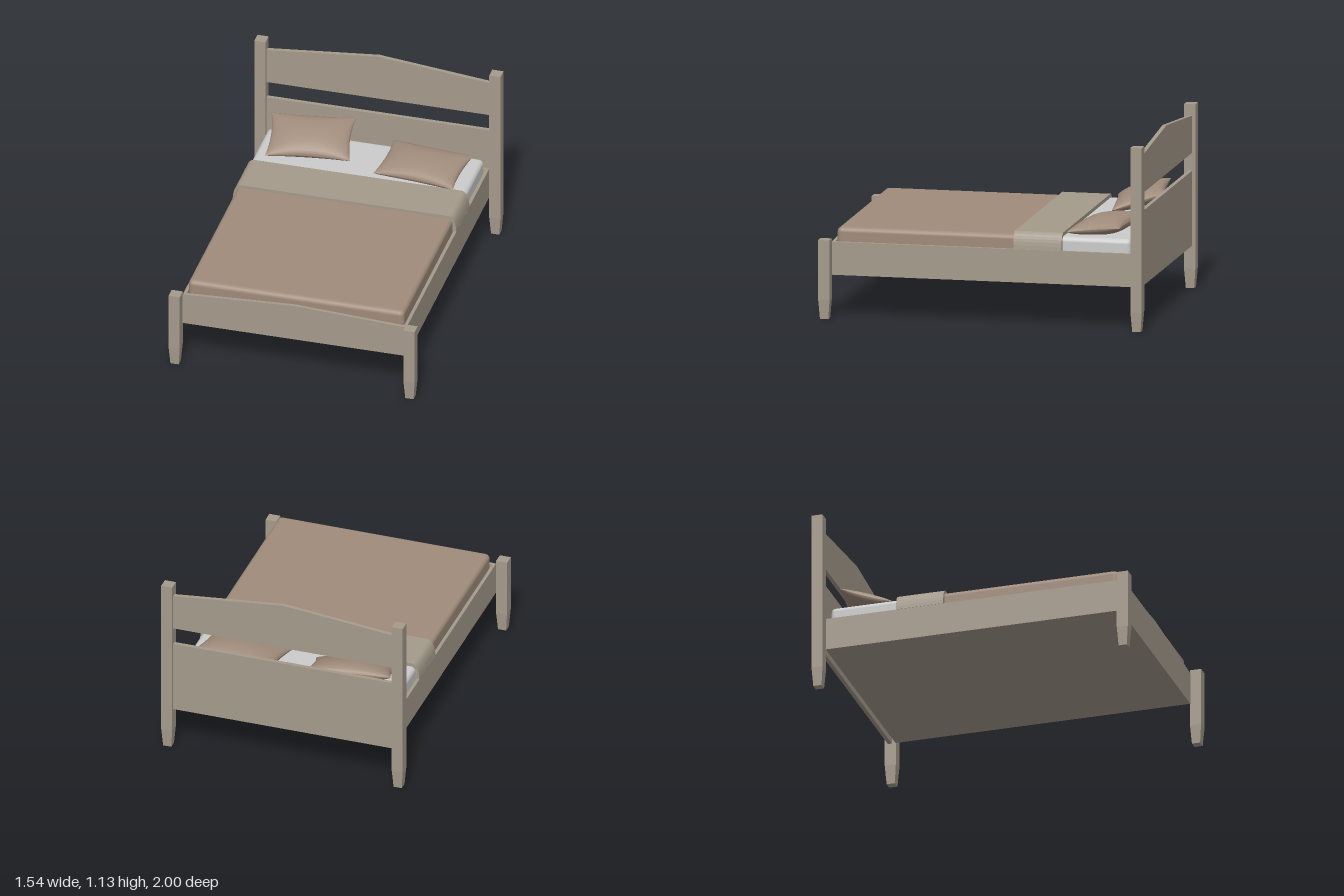
import * as THREE from 'three';
import { mergeGeometries } from 'three/addons/utils/BufferGeometryUtils.js';
import { RoundedBoxGeometry } from 'three/addons/geometries/RoundedBoxGeometry.js';

const material = (color, side = THREE.FrontSide) =>
  new THREE.MeshStandardMaterial({ color, side });

export function createModel() {
  const bed = new THREE.Group();
  bed.name = 'bed';
  const wood = material(0xa59b8c);
  const duvetCloth = material(0xa08c7b);
  const pillowCloth = material(0xa08c7b, THREE.DoubleSide);
  const sheetCloth = material(0xcccccc);

  const add = (name, geometry, mat, x = 0, y = 0, z = 0) => {
    const mesh = new THREE.Mesh(geometry, mat);
    mesh.name = name;
    mesh.position.set(x, y, z);
    bed.add(mesh);
    return mesh;
  };
  // Box given by its lower and upper corners
  const addBox = (name, mat, [x0, y0, z0], [x1, y1, z1]) =>
    add(name, new THREE.BoxGeometry(x1 - x0, y1 - y0, z1 - z0), mat,
      (x0 + x1) / 2, (y0 + y1) / 2, (z0 + z1) / 2);
  const extrude = (shape, depth) =>
    new THREE.ExtrudeGeometry(shape, { depth, bevelEnabled: false, curveSegments: 8 });

  // Square posts with tapered feet
  const addPost = (name, height, x, z) => {
    const footHeight = 0.12;
    const shaft = new THREE.BoxGeometry(0.07, height - footHeight, 0.07);
    shaft.translate(0, (height + footHeight) / 2, 0);
    const foot = new THREE.BoxGeometry(0.07, footHeight, 0.07);
    foot.translate(0, footHeight / 2, 0);
    const p = foot.attributes.position;
    for (let i = 0; i < p.count; i++) {
      if (p.getY(i) < 0.01) p.setXYZ(i, p.getX(i) * 0.74, 0, p.getZ(i) * 0.74);
    }
    foot.deleteAttribute('normal');
    const flatFoot = foot.toNonIndexed();
    flatFoot.computeVertexNormals();
    add(name, mergeGeometries([shaft.toNonIndexed(), flatFoot]), wood, x, 0, z);
  };
  for (const side of [-1, 1]) {
    const label = side > 0 ? 'left' : 'right';
    addPost(`${label}FootPost`, 0.485, side * 0.735, 0.965);
    addPost(`${label}HeadPost`, 1.13, side * 0.735, -0.965);
    const rail = [side * 0.68, side * 0.70].sort((a, b) => a - b);
    addBox(`${label}SideRail`, wood, [rail[0], 0.262, -0.93], [rail[1], 0.465, 0.93]);
  }

  // Boards with a peaked upper edge
  const addPeakedBoard = (name, bottom, edge, peak, z0, z1) => {
    const shape = new THREE.Shape([
      new THREE.Vector2(-0.70, bottom), new THREE.Vector2(0.70, bottom),
      new THREE.Vector2(0.70, edge), new THREE.Vector2(0, peak),
      new THREE.Vector2(-0.70, edge),
    ]);
    add(name, extrude(shape, z1 - z0), wood, 0, 0, z0);
  };
  addPeakedBoard('footboard', 0.262, 0.465, 0.50, 0.912, 0.932);
  addPeakedBoard('headEndBoard', 0.262, 0.465, 0.50, -0.932, -0.912);
  addPeakedBoard('upperHeadboard', 0.832, 1.06, 1.13, -0.98, -0.955);
  addBox('lowerHeadboard', wood, [-0.70, 0.262, -0.98], [0.70, 0.722, -0.955]);
  addBox('basePanel', wood, [-0.68, 0.262, -0.912], [0.68, 0.29, 0.912]);

  // Mattress and duvet, joined under the folded blanket
  const addSoftSlab = (name, mat, top, z0, z1) =>
    add(name, new RoundedBoxGeometry(1.35, top - 0.29, z1 - z0, 5, 0.03), mat,
      0, (top + 0.29) / 2, (z0 + z1) / 2);
  addSoftSlab('mattress', sheetCloth, 0.547, -0.91, -0.28);
  addSoftSlab('duvet', duvetCloth, 0.55, -0.36, 0.907);

  // Folded blanket across the bed
  const fold = new THREE.Shape();
  fold.moveTo(-0.70, 0.466);
  fold.lineTo(0.70, 0.466);
  fold.quadraticCurveTo(0.695, 0.57, 0.645, 0.57);
  fold.lineTo(-0.645, 0.57);
  fold.quadraticCurveTo(-0.695, 0.57, -0.70, 0.466);
  add('foldedBlanket', extrude(fold, 0.298), wood, 0, 0, -0.488);

  // Cushioned pillow: two domed sheets sharing a pinched rim
  const pillowHalf = (sign) => {
    const g = new THREE.PlaneGeometry(2, 2, 24, 18);
    g.rotateX(-Math.PI / 2);
    const p = g.attributes.position;
    for (let i = 0; i < p.count; i++) {
      const u = Math.sin(p.getX(i) * Math.PI / 2);
      const v = Math.sin(p.getZ(i) * Math.PI / 2);
      const dome = Math.pow(Math.max(0, (1 - u * u) * (1 - v * v)), 0.45);
      p.setXYZ(i,
        0.258 * u * (1 - 0.07 * (1 - v * v)),
        sign * 0.06 * dome,
        0.17 * v * (1 - 0.1 * (1 - u * u)));
    }
    if (sign < 0) {
      const index = g.index.array;
      for (let i = 0; i < index.length; i += 3) {
        [index[i], index[i + 1]] = [index[i + 1], index[i]];
      }
    }
    g.computeVertexNormals();
    return g;
  };
  const pillow = mergeGeometries([pillowHalf(1), pillowHalf(-1)]);
  const addPillow = (name, x, y, z, tilt, turn) =>
    add(name, pillow, pillowCloth, x, y, z).rotation.set(tilt, turn, 0, 'YXZ');
  addPillow('rightPillow', -0.365, 0.628, -0.742, 0.32, 0.15);
  addPillow('leftPillow', 0.355, 0.583, -0.688, 0.12, -0.1);

  return bed;
}
